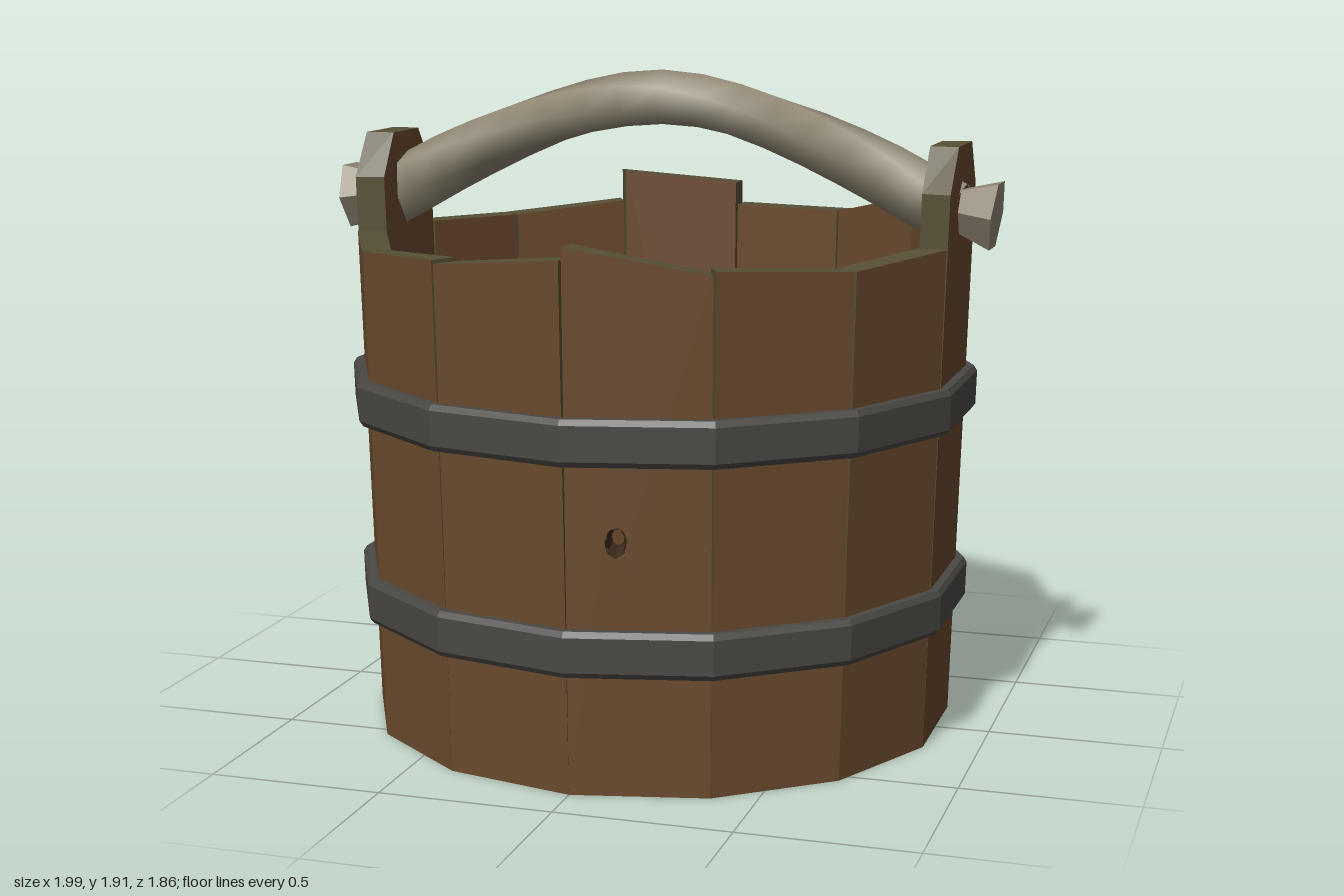
import * as THREE from 'three';

const SIDES = 14;
const STEP = (Math.PI * 2) / SIDES;
const WALL = 0.085;
const radiusAt = (y) => 0.863 + 0.03 * y; // corner radius of the flaring wall

const mat = (color, extra = {}) => new THREE.MeshStandardMaterial({ color, ...extra });

function add(group, name, geometry, material) {
  const mesh = new THREE.Mesh(geometry, material);
  mesh.name = name;
  group.add(mesh);
  return mesh;
}

// One stave: outline in (t across, y up), extruded and wrapped onto the flaring wall
function staveGeometry(index, outline, hole) {
  const shape = new THREE.Shape(outline.map(([t, y]) => new THREE.Vector2(t, y)));
  if (hole) shape.holes.push(hole);
  const geo = new THREE.ExtrudeGeometry(shape, { depth: 1, bevelEnabled: false, curveSegments: 4 });
  const p = geo.attributes.position;
  const a = index * STEP, b = a + STEP;
  for (let i = 0; i < p.count; i++) {
    const y = p.getY(i);
    const gap = 0.007 * y; // staves part slightly toward the top
    const t = gap + p.getX(i) * (1 - 2 * gap);
    const r = radiusAt(y) - WALL * (1 - p.getZ(i));
    p.setXYZ(i,
      r * THREE.MathUtils.lerp(Math.sin(a), Math.sin(b), t),
      y,
      r * THREE.MathUtils.lerp(Math.cos(a), Math.cos(b), t));
  }
  geo.computeVertexNormals();
  return geo;
}

// Loft rings of points around a path; radius and twist vary along it
function loft(path, rings, sides, radius, twist) {
  const pos = [], index = [];
  for (let i = 0; i <= rings; i++) {
    const u = i / rings;
    const c = path.getPoint(u), tan = path.getTangent(u);
    const up = new THREE.Vector3(-tan.y, tan.x, 0);
    for (let j = 0; j < sides; j++) {
      const a = (j / sides) * Math.PI * 2 + twist(u);
      const r = radius(u, j);
      pos.push(c.x + up.x * r * Math.cos(a), c.y + up.y * r * Math.cos(a), c.z + r * Math.sin(a));
      if (i < rings) {
        const k = (j + 1) % sides;
        const p = i * sides + j, q = i * sides + k;
        index.push(p, p + sides, q, q, p + sides, q + sides);
      }
    }
  }
  const geo = new THREE.BufferGeometry();
  geo.setAttribute('position', new THREE.Float32BufferAttribute(pos, 3));
  geo.setIndex(index);
  geo.computeVertexNormals();
  return geo;
}

export function createModel() {
  const model = new THREE.Group();
  model.name = 'bucket';
  const wood = mat(0x6b4a2e, { flatShading: true });
  const rim = mat(0x575036, { flatShading: true });
  const iron = mat(0x4b4945, { flatShading: true });
  const floorWood = mat(0x4a3120, { flatShading: true });
  const baseWood = mat(0x39281a, { flatShading: true });
  const branch = mat(0x8f8672, { side: THREE.DoubleSide });
  const branchEnd = mat(0x8f8672, { flatShading: true });

  // Staves: uneven top heights at each edge, taller ears at 3 and 10
  const tops = [
    [1.5, 1.43], [1.44, 1.42], [1.42, 1.44], null, [1.4, 1.51], [1.51, 1.43], [1.43, 1.43],
    [1.5, 1.535], [1.44, 1.41], [1.41, 1.42], null, [1.43, 1.42], [1.42, 1.44], [1.43, 1.465],
  ];
  const staves = new THREE.Group();
  staves.name = 'staves';
  model.add(staves);
  tops.forEach((top, i) => {
    const upper = top
      ? [[1, top[1]], [0, top[0]]]
      : [[1, 1.59], [0.76, 1.715], [0.24, 1.715], [0, 1.59]];
    let hole = null;
    if (i === 0) {
      hole = new THREE.Path();
      hole.absellipse(0.35, 0.71, 0.08, 0.045, 0, Math.PI * 2, true);
    }
    add(staves, top ? 'stave' : 'earStave', staveGeometry(i, [[0, 0], [1, 0], ...upper], hole), [wood, rim]);
  });

  // Knot hole lining in the front stave
  const knot = add(model, 'knotHole',
    new THREE.CylinderGeometry(0.031, 0.018, 0.08, 7, 1, true),
    mat(0x3a2a1b, { side: THREE.DoubleSide, flatShading: true }));
  knot.position.set(0.125, 0.71, 0.818);
  knot.rotation.order = 'YXZ';
  knot.rotation.set(Math.PI / 2, STEP / 2, 0);
  knot.scale.z = 1.35;

  // Floor board and dark underside
  const floor = add(model, 'floor', new THREE.CylinderGeometry(0.8, 0.8, 0.08, SIDES), floorWood);
  floor.position.y = 0.06;
  const base = add(model, 'underside', new THREE.CylinderGeometry(0.855, 0.855, 0.012, SIDES), baseWood);
  base.position.y = 0.006;

  // Iron hoops with chamfered edges
  for (const y of [0.34, 0.92]) {
    const h = 0.13, c = 0.016;
    const r = radiusAt(y + h / 2);
    const profile = [
      [r - 0.03, 0], [r + 0.02, 0], [r + 0.032, c], [r + 0.035, h - c], [r + 0.025, h], [r - 0.03, h],
    ].map(([x, dy]) => new THREE.Vector2(x, y + dy));
    add(model, 'hoop', new THREE.LatheGeometry(profile, SIDES), iron);
  }

  // Twisted branch handle arching between the ears
  const arc = new THREE.CatmullRomCurve3([
    [-0.86, 1.525], [-0.6, 1.66], [-0.3, 1.775], [0, 1.825], [0.3, 1.775], [0.6, 1.66], [0.86, 1.525],
  ].map(([x, y]) => new THREE.Vector3(x, y, 0)));
  const swell = (u, j) => (0.084 + 0.022 * Math.abs(2 * u - 1) ** 2) * (j % 2 ? 0.88 : 1);
  add(model, 'handle', loft(arc, 16, 6, swell, (u) => (u - 0.5) * 2.6), branch);

  // Flared handle ends outside the ears
  for (const side of [-1, 1]) {
    const end = add(model, side > 0 ? 'leftHandleEnd' : 'rightHandleEnd',
      new THREE.CylinderGeometry(0.108, 0.058, 0.13, 6), branchEnd);
    end.position.set(side * 0.92, 1.524, 0);
    end.rotation.z = -side * (Math.PI / 2 + 0.12);
  }
  return model;
}
